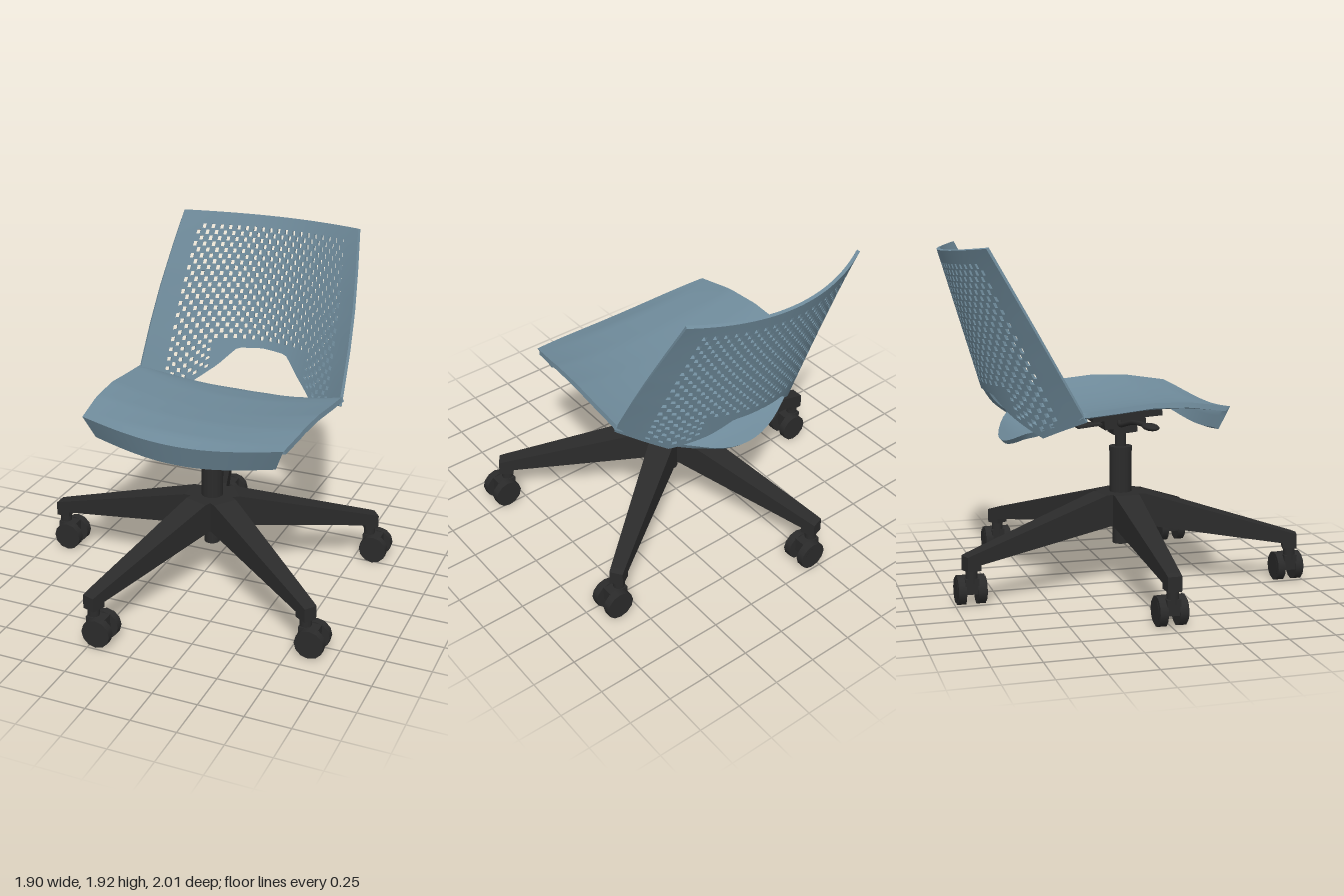
import * as THREE from 'three';
import { toCreasedNormals } from 'three/addons/utils/BufferGeometryUtils.js';

const shellBlue = new THREE.MeshStandardMaterial({ color: 0x6f8b9b });
shellBlue.name = 'shellBlue';
const frameBlack = new THREE.MeshStandardMaterial({ color: 0x2b2b2b });
frameBlack.name = 'frameBlack';

const lerp = THREE.MathUtils.lerp;

// Piecewise linear lookup in a list of [x, y] knots.
function lookup(knots, x) {
  if (x <= knots[0][0]) return knots[0][1];
  for (let i = 1; i < knots.length; i++) {
    const [x0, y0] = knots[i - 1], [x1, y1] = knots[i];
    if (x <= x1) return lerp(y0, y1, (x - x0) / (x1 - x0));
  }
  return knots[knots.length - 1][1];
}

// Thick sheet over point(u, v); cells chosen by isHole get a square opening.
function shell(nu, nv, point, thickness, isHole = () => false) {
  const top = [], bottom = [], pos = [], e = 0.004;
  for (let j = 0; j <= nv; j++) for (let i = 0; i <= nu; i++) {
    const u = i / nu, v = j / nv, p = point(u, v);
    const du = point(Math.min(1, u + e), v).sub(point(Math.max(0, u - e), v));
    const dv = point(u, Math.min(1, v + e)).sub(point(u, Math.max(0, v - e)));
    top.push(p);
    bottom.push(p.clone().addScaledVector(du.cross(dv).normalize(), -thickness));
  }
  const quad = (a, b, c, d) => {
    for (const p of [a, b, c, a, c, d]) pos.push(p.x, p.y, p.z);
  };
  const corners = (list, i, j) => {
    const k = j * (nu + 1) + i;
    return [list[k], list[k + 1], list[k + nu + 2], list[k + nu + 1]];
  };
  const inset = (c) => {
    const mid = new THREE.Vector3();
    c.forEach((p) => mid.addScaledVector(p, 0.25));
    return c.map((p) => p.clone().lerp(mid, 0.26));
  };
  for (let j = 0; j < nv; j++) for (let i = 0; i < nu; i++) {
    const t = corners(top, i, j), b = corners(bottom, i, j);
    if (isHole(i, j)) {
      const ti = inset(t), bi = inset(b);
      for (let k = 0; k < 4; k++) {
        const n = (k + 1) % 4;
        quad(t[k], t[n], ti[n], ti[k]);
        quad(b[n], b[k], bi[k], bi[n]);
        quad(ti[k], ti[n], bi[n], bi[k]);
      }
    } else {
      quad(...t);
      quad(b[3], b[2], b[1], b[0]);
    }
    // Outer walls along the border
    const border = [j === 0, i === nu - 1, j === nv - 1, i === 0];
    border.forEach((on, k) => {
      const n = (k + 1) % 4;
      if (on) quad(b[k], b[n], t[n], t[k]);
    });
  }
  const g = new THREE.BufferGeometry();
  g.setAttribute('position', new THREE.Float32BufferAttribute(pos, 3));
  return toCreasedNormals(g, 0.6);
}

// Seat: dished sheet, rear tongue dropping down, front lip folding under.
const seatHalf = [[-0.69, 0.6], [-0.38, 0.63], [0, 0.62], [0.25, 0.605], [0.5, 0.575]];
const seatEdgeY = [[-0.69, 0.85], [-0.6, 0.94], [-0.5, 1.02], [-0.38, 1.075], [-0.2, 1.09],
  [0, 1.11], [0.2, 1.105], [0.44, 1.07]];
const seatMidY = [[-0.69, 0.85], [-0.62, 0.92], [-0.5, 0.965], [-0.3, 1.005], [0, 1.035],
  [0.2, 1.05], [0.4, 1.045], [0.5, 1.02]];
function seatPoint(u, v) {
  const s = u * 2 - 1, lip = Math.max(0, 1 - v * 10), run = Math.max(0, (v - 0.1) / 0.9);
  const z = lerp(0.5 - 0.06 * s * s, -0.69 + 0.31 * s * s, run);
  const y = lerp(lookup(seatMidY, z), lookup(seatEdgeY, z), s * s);
  return new THREE.Vector3(s * (lookup(seatHalf, z) - 0.055 * lip), y - 0.13 * lip, z - 0.045 * lip);
}

// Backrest: curved sheet leaning back, with an arch cut out of its lower edge.
const backHalf = [[0.9, 0.625], [1.1, 0.62], [1.3, 0.613], [1.5, 0.598], [1.7, 0.573], [1.92, 0.54]];
const backBottom = [[0, 1.14], [0.25, 1.13], [0.41, 1.03], [0.65, 0.92], [1, 1.03]];
const LOW = 8, HIGH = 22, COLS = 46, SPLIT = 1.18;
function backPoint(u, v) {
  const s = u * 2 - 1, row = v * (LOW + HIGH);
  const y = row < LOW
    ? lerp(lookup(backBottom, Math.abs(s)), SPLIT, row / LOW)
    : lerp(SPLIT, 1.895 + 0.025 * s * s, (row - LOW) / HIGH);
  const edgeZ = -0.38 - (y - 1.08) * 0.548, depth = 0.39 - 0.25 * (y - 1);
  return new THREE.Vector3(s * lookup(backHalf, y), y, edgeZ - depth * (1 - s * s));
}
function backHole(i, j) {
  const s = Math.abs(((i + 0.5) / COLS) * 2 - 1);
  if ((i + j) % 2 || s > 0.82 || j > LOW + HIGH - 3) return false;
  return j >= LOW || (j > 0 && s > 0.46);
}

export function createModel() {
  const model = new THREE.Group();
  model.name = 'swivelChair';
  const body = new THREE.Group();
  body.name = 'chairBody';
  body.position.x = 0.047;
  model.add(body);

  const add = (name, geometry, x = 0, y = 0, z = 0, parent = body, material = frameBlack) => {
    const mesh = new THREE.Mesh(geometry, material);
    mesh.name = name;
    mesh.position.set(x, y, z);
    parent.add(mesh);
    return mesh;
  };
  const rod = (r, y0, y1, sides = 16) =>
    new THREE.CylinderGeometry(r, r, y1 - y0, sides).translate(0, (y0 + y1) / 2, 0);

  add('seat', shell(24, 40, seatPoint, 0.028), 0, 0, 0, body, shellBlue);
  add('backrest', shell(COLS, LOW + HIGH, backPoint, 0.018, backHole), 0, 0, 0, body, shellBlue);

  // Central column
  add('lowerStub', rod(0.045, 0.22, 0.36));
  add('hub', rod(0.125, 0.34, 0.52, 10));
  add('columnSleeve', rod(0.062, 0.5, 0.76));
  add('columnCollar', rod(0.066, 0.755, 0.78));
  add('gasPiston', rod(0.032, 0.77, 0.92));

  // Tilt mechanism and height lever under the seat
  add('mechanismPlate', new THREE.BoxGeometry(0.3, 0.05, 0.4), 0, 0.98, 0.0).rotation.x = -0.06;
  add('mechanismBox', new THREE.BoxGeometry(0.2, 0.06, 0.24), 0, 0.93, 0).rotation.x = -0.1;
  add('mechanismSocket', new THREE.BoxGeometry(0.13, 0.06, 0.14), 0, 0.89, 0.01).rotation.x = -0.1;
  add('tiltBlade', new THREE.BoxGeometry(0.1, 0.012, 0.2), 0, 0.91, -0.16).rotation.x = -0.1;
  const leverPath = new THREE.CatmullRomCurve3([
    new THREE.Vector3(-0.08, 0.94, -0.03), new THREE.Vector3(-0.25, 0.94, -0.07),
    new THREE.Vector3(-0.42, 0.98, -0.05), new THREE.Vector3(-0.6, 0.988, -0.02)]);
  add('lever', new THREE.TubeGeometry(leverPath, 16, 0.013, 8));
  add('leverPaddle', new THREE.SphereGeometry(1, 16, 10).scale(0.085, 0.018, 0.042), -0.635, 0.988, -0.02);

  // Leg: side profile extruded, then tapered towards the tip
  const profile = [[0, 0.34], [0.12, 0.34], [0.92, 0.23], [0.92, 0.2], [1, 0.2], [1, 0.28],
    [0.97, 0.29], [0.14, 0.52], [0, 0.52]];
  const legShape = new THREE.Shape(profile.map(([r, y]) => new THREE.Vector2(r, y)));
  const legGeometry = new THREE.ExtrudeGeometry(legShape, { depth: 1, bevelEnabled: false });
  legGeometry.translate(0, 0, -0.5);
  const p = legGeometry.attributes.position;
  for (let i = 0; i < p.count; i++) p.setZ(i, p.getZ(i) * lerp(0.155, 0.075, p.getX(i)));
  legGeometry.computeVertexNormals();

  // Five legs, each with a twin-wheel caster; all casters trail the same way
  const wheel = new THREE.CylinderGeometry(0.082, 0.082, 0.044, 12).rotateX(Math.PI / 2);
  const cap = new THREE.CylinderGeometry(0.058, 0.07, 0.008, 12).rotateX(Math.PI / 2);
  for (let k = 0; k < 5; k++) {
    const a = Math.PI + (k * Math.PI * 2) / 5;
    add('leg', legGeometry).rotation.y = -a;
    const caster = new THREE.Group();
    caster.name = 'caster';
    caster.position.set(Math.cos(a) * 0.96, 0, Math.sin(a) * 0.96);
    body.add(caster);
    add('casterStem', rod(0.033, 0.13, 0.21, 12), 0, 0, 0, caster);
    add('casterHousing', new THREE.BoxGeometry(0.11, 0.085, 0.075), 0.025, 0.115, 0, caster);
    for (const side of [-1, 1]) {
      add('casterWheel', wheel, 0.043, 0.084, side * 0.053, caster);
      const c = add('wheelCap', cap, 0.043, 0.084, side * 0.078, caster);
      if (side > 0) c.rotation.y = Math.PI;
    }
  }
  return model;
}
